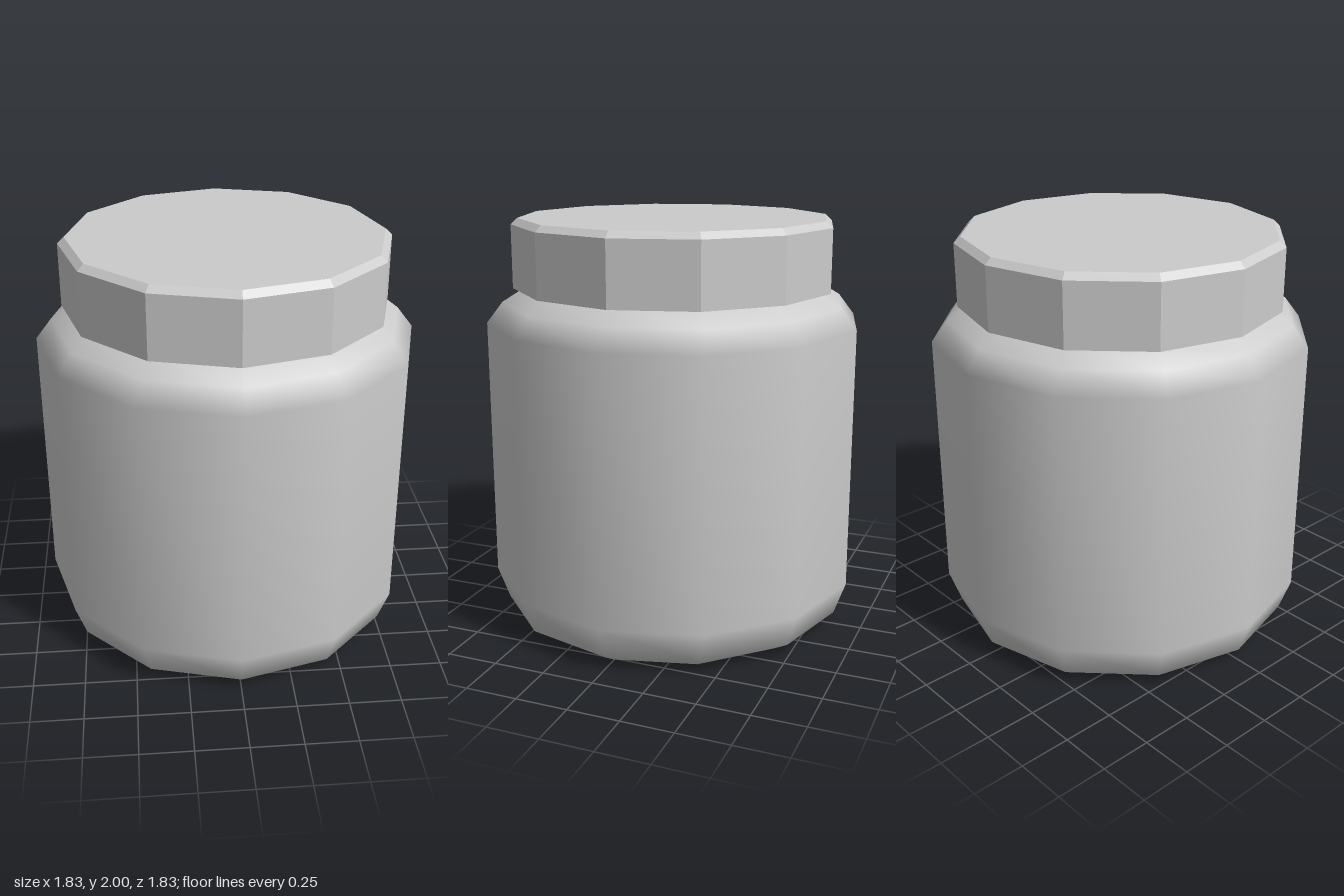
import * as THREE from 'three';

const SIDES = 12;

function lathe(name, profile, flatShading) {
  const points = profile.map(([r, y]) => new THREE.Vector2(r, y));
  const material = new THREE.MeshStandardMaterial({ color: 0xcccccc, flatShading });
  const mesh = new THREE.Mesh(new THREE.LatheGeometry(points, SIDES), material);
  mesh.name = name;
  return mesh;
}

export function createModel() {
  const jar = new THREE.Group();
  jar.name = 'jar';

  // Smooth wall with a rounded foot and shoulder, running up to the lid
  jar.add(lathe('jarBody', [
    [0.76, 0], [0.86, 0.06], [0.917, 0.22],
    [0.917, 1.5], [0.84, 1.6], [0.735, 1.665],
  ], false));

  // Flat base
  jar.add(lathe('jarBase', [[0, 0], [0.76, 0]], true));

  // Faceted lid with a closed underside and a bevelled top edge
  jar.add(lathe('lid', [
    [0, 1.665], [0.787, 1.665], [0.787, 1.97], [0.755, 2], [0, 2],
  ], true));

  return jar;
}
